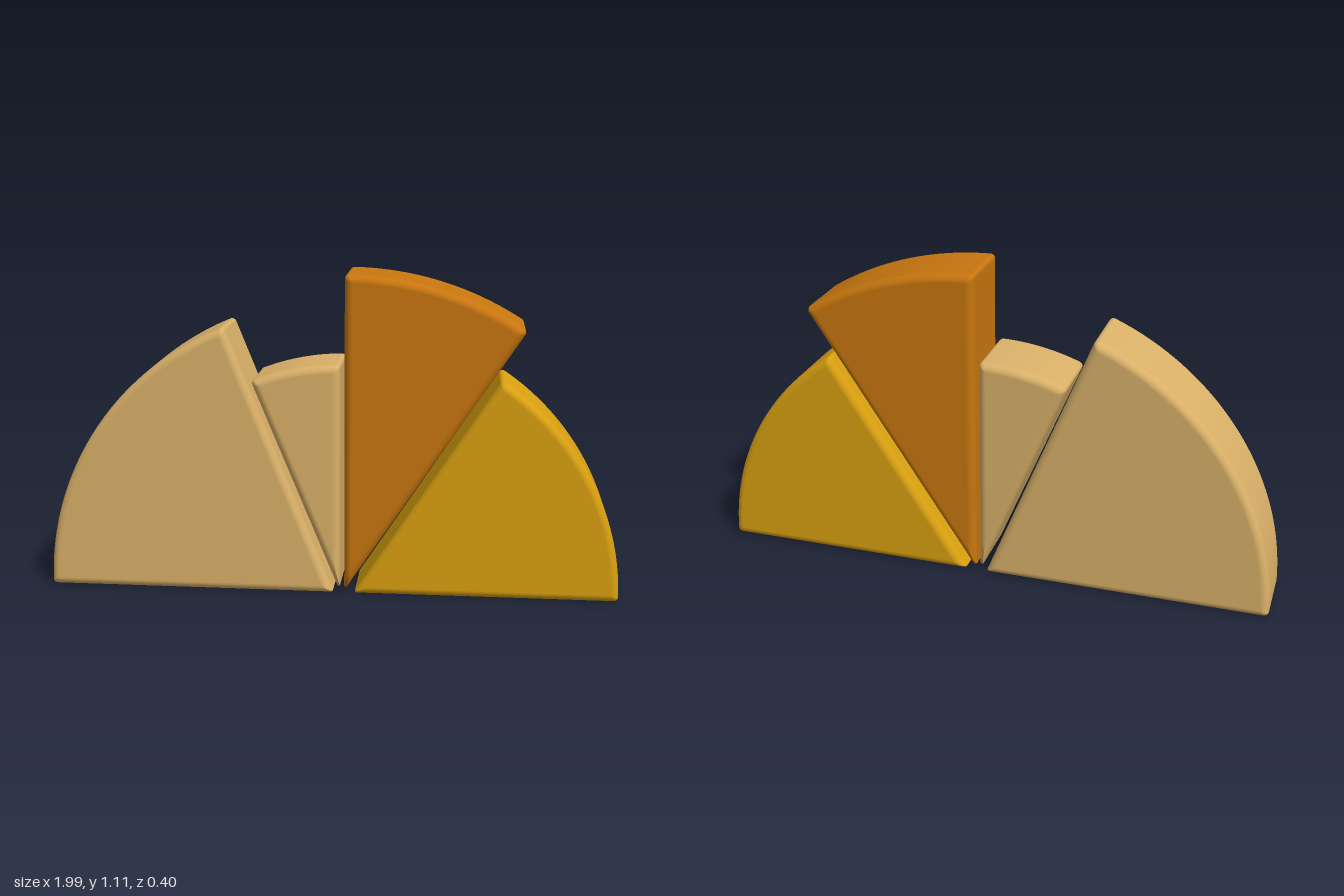
import * as THREE from 'three';

const DEPTH = 0.27;   // thickness of every wedge
const BEVEL = 0.028;  // rounding towards the flat faces
const TURN = 0.066;   // slight turn of the row about y
const rad = THREE.MathUtils.degToRad;
const polar = (a, r = 1) => new THREE.Vector2(Math.cos(a) * r, Math.sin(a) * r);

// Corners of a circle sector (apex, arc start, arc end) inset by k
function corners(a0, a1, R, k) {
  const t = Math.asin(k / (R - k));
  return [
    polar((a0 + a1) / 2, k / Math.sin((a1 - a0) / 2)),
    polar(a0 + t, R - k),
    polar(a1 - t, R - k),
  ];
}

// Closed counter-clockwise outline: inner point, outer point, normal
function sectorOutline(a0, a1, R) {
  const inner = corners(a0, a1, R, BEVEL);
  const tip = 0.005, edge = 0.015;
  const tipCorner = corners(a0, a1, R, tip)[0];
  const outer = corners(a0, a1, R, edge);
  const pts = [];
  const corner = (p, c, r, from, to) => {
    for (let i = 0; i <= 6; i++) {
      const n = polar(from + (to - from) * i / 6);
      pts.push({ p, o: c.clone().addScaledVector(n, r), n });
    }
  };
  const H = Math.PI / 2;
  const i0 = inner[1].angle(), i1 = inner[2].angle();
  const o0 = outer[1].angle(), o1 = outer[2].angle();
  corner(inner[0], tipCorner, tip, a1 + H, a0 + 3 * H);
  corner(inner[1], outer[1], edge, a0 - H, o0);
  for (let i = 1; i < 40; i++) {
    const a = o0 + (o1 - o0) * i / 40;
    pts.push({ p: polar(i0 + (i1 - i0) * i / 40, R - BEVEL), o: polar(a, R), n: polar(a) });
  }
  corner(inner[2], outer[2], edge, o1, a1 + H);
  return pts;
}

// Solid wedge: rounded rim swept from back to front, closed by flat faces
function wedgeGeometry(a0, a1, R) {
  const outline = sectorOutline(a0, a1, R);
  const N = outline.length, S = 6;
  const pos = [], nor = [], idx = [];
  const rings = [];
  for (const side of [-1, 1]) {
    for (let j = 0; j <= S; j++) {
      rings.push([side, (side < 0 ? S - j : j) / S * Math.PI / 2]);
    }
  }
  for (const [side, f] of rings) {
    const c = Math.cos(f), s = Math.sin(f);
    for (const { p, o, n } of outline) {
      const q = p.clone().lerp(o, c);
      pos.push(q.x, q.y, side * (DEPTH / 2 - BEVEL + BEVEL * s));
      nor.push(n.x * c, n.y * c, side * s);
    }
  }
  for (let j = 0; j < rings.length - 1; j++) {
    for (let i = 0; i < N; i++) {
      const a = j * N + i, b = j * N + (i + 1) % N;
      idx.push(a, b, b + N, a, b + N, a + N);
    }
  }
  // Flat back and front
  const last = (rings.length - 1) * N;
  for (let i = 1; i < N - 1; i++) {
    idx.push(0, i + 1, i, last, last + i, last + i + 1);
  }
  const g = new THREE.BufferGeometry();
  g.setAttribute('position', new THREE.Float32BufferAttribute(pos, 3));
  g.setAttribute('normal', new THREE.Float32BufferAttribute(nor, 3));
  g.setIndex(idx);
  return g;
}

export function createModel() {
  const material = (name, color) => {
    const m = new THREE.MeshStandardMaterial({ color });
    m.name = name;
    return m;
  };
  const tan = material('tan', 0xd9b068);
  const orange = material('orange', 0xc8760f);
  const yellow = material('yellow', 0xd9a010);

  const model = new THREE.Group();
  model.name = 'wedgeFan';

  // name, material, apex x, apex y, start and end angle, radius
  const wedges = [
    ['largeTanWedge', tan, 0.01, 0, 111.8, 180, 1.003],
    ['smallTanWedge', tan, 0.033, 0, 90, 112.3, 0.807],
    ['tallOrangeWedge', orange, 0.047, 0.005, 56.7, 90, 1.107],
    ['yellowWedge', yellow, 0.08, 0, 0, 57, 0.911],
  ];
  for (const [name, mat, x, y, a0, a1, R] of wedges) {
    const mesh = new THREE.Mesh(wedgeGeometry(rad(a0), rad(a1), R), mat);
    mesh.name = name;
    mesh.position.set(x, y, 0);
    model.add(mesh);
  }
  model.rotation.y = TURN;
  return model;
}
